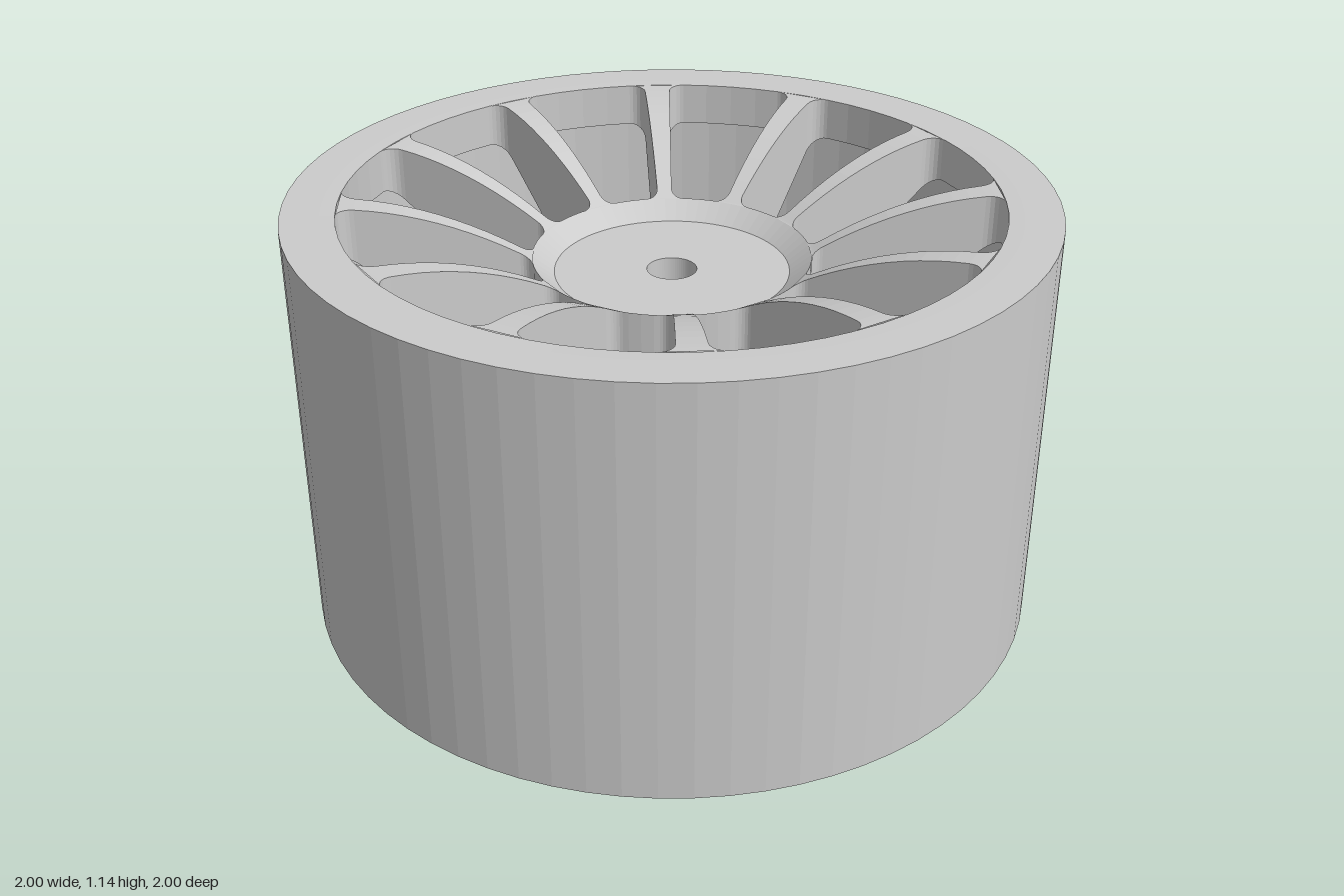
import * as THREE from 'three';

const HUB = 0.367, RIM = 0.86, HEIGHT = 1.14, SPOKES = 12, SIDES = 72;

// Dished upper face and conical underside, as heights over the radius
const topY = r => HEIGHT - 0.16 * (Math.max(0, 0.9 - r) / 0.533) ** 2;
const bottomY = r => Math.min(1.02, 0.6 + (r - 0.3) * 0.75);

const material = new THREE.MeshStandardMaterial({ color: 0xcccccc, flatShading: true });

function add(group, name, geometry) {
  const mesh = new THREE.Mesh(geometry, material);
  mesh.name = name;
  group.add(mesh);
  return mesh;
}

function turned(profile) {
  return new THREE.LatheGeometry(profile.map(p => new THREE.Vector2(p[0], p[1])), SIDES);
}

// Half width: tapers toward the hub and flares into a fillet at both ends
function halfWidth(r) {
  const flare = (d, f) => (d < f ? f - Math.sqrt(f * f - (f - d) ** 2) : 0);
  return 0.019 + (r - HUB) * 0.038 + flare(r - HUB, 0.03) + flare(RIM - r, 0.045);
}

// Radii of the sections, closer together at the fillets
function spokeRadii() {
  const radii = [];
  for (let i = 0; i <= 6; i++) radii.push(HUB + 0.03 * (1 - Math.cos(i * Math.PI / 12)));
  for (let i = 1; i < 10; i++) radii.push(HUB + 0.03 + (RIM - HUB - 0.075) * i / 10);
  for (let i = 6; i >= 0; i--) radii.push(RIM - 0.045 * (1 - Math.cos(i * Math.PI / 12)));
  return radii;
}

function spokeGeometry() {
  const positions = [], index = [];
  spokeRadii().forEach((r, i) => {
    const h = halfWidth(r), x = Math.sqrt(r * r - h * h);
    const t = topY(r), b = bottomY(r);
    positions.push(x, t, -h, x, t, h, x, b, h, x, b, -h);
    if (i === 0) return;
    for (let k = 0; k < 4; k++) {
      const p = (i - 1) * 4 + k, q = (i - 1) * 4 + (k + 1) % 4;
      index.push(p, q, p + 4, q, q + 4, p + 4);
    }
  });
  const geometry = new THREE.BufferGeometry();
  geometry.setAttribute('position', new THREE.Float32BufferAttribute(positions, 3));
  geometry.setIndex(index);
  geometry.computeVertexNormals();
  return geometry;
}

export function createModel() {
  const wheel = new THREE.Group();
  wheel.name = 'wheel';

  // Thin barrel with the inward lip that holds the spokes
  add(wheel, 'barrel', turned([
    [0.963, 0], [1, 0], [1, HEIGHT], [0.9, HEIGHT], [RIM, topY(RIM)],
    [RIM, bottomY(RIM)], [0.963, 1.02], [0.963, 0],
  ]));

  // Recessed hub with a through bore and a long boss below
  add(wheel, 'hub', turned([
    [0.066, 0.207], [0.302, 0.207], [0.302, bottomY(0.302)], [HUB, bottomY(HUB)],
    [HUB, topY(HUB)], [0.31, 0.935], [0.066, 0.935], [0.066, 0.207],
  ]));

  // Spokes, deepening toward the hub
  const geometry = spokeGeometry();
  for (let i = 0; i < SPOKES; i++) {
    add(wheel, 'spoke', geometry).rotation.y = (i + 0.5) * 2 * Math.PI / SPOKES;
  }
  return wheel;
}
